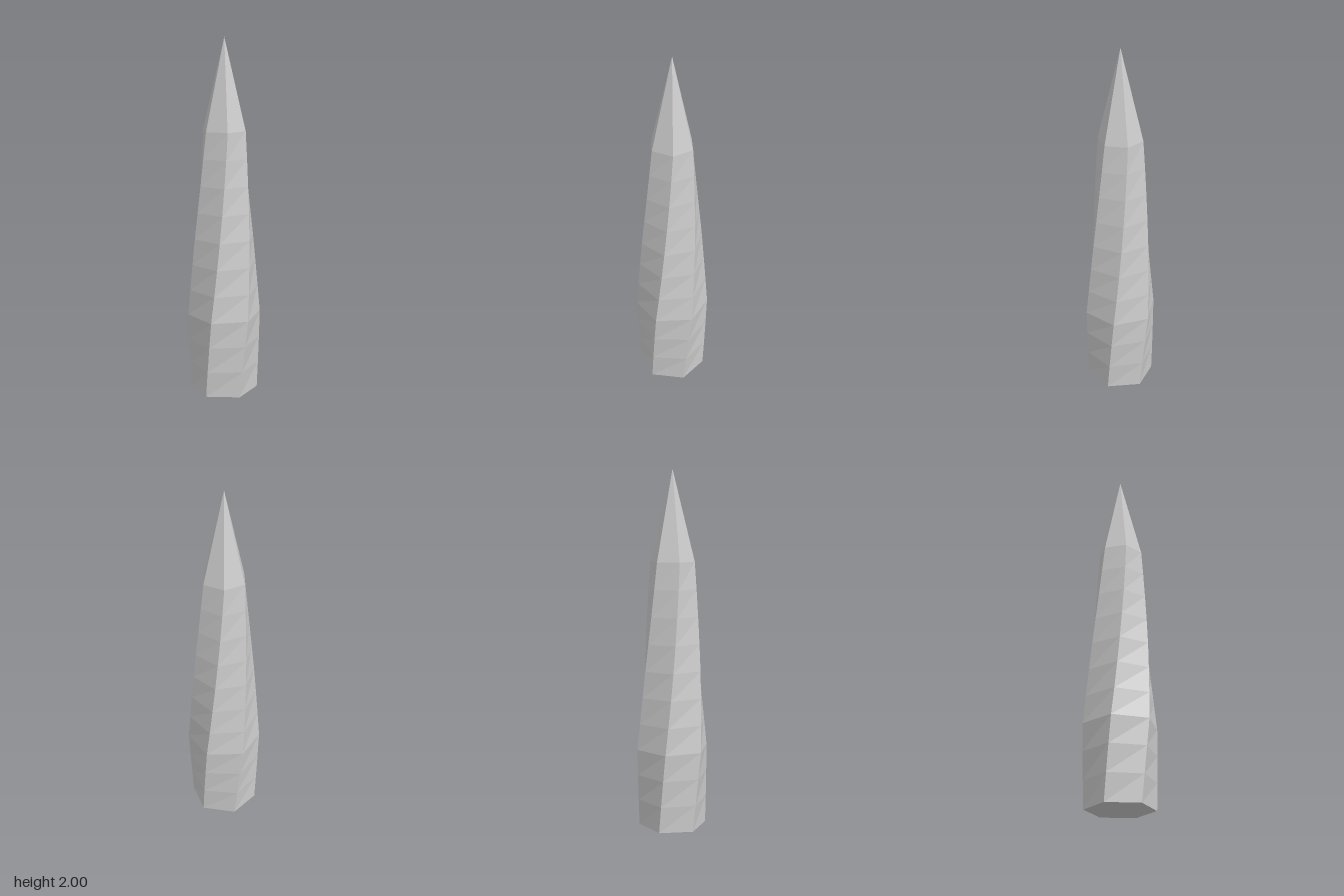
import * as THREE from 'three';

const SHOULDER = 1.5;
// Radius at height: [y, r]
const PROFILE = [[0, 0.19], [0.45, 0.208], [0.9, 0.176], [SHOULDER, 0.125], [2, 0]];

function radiusAt(y) {
  for (let i = 1; i < PROFILE.length; i++) {
    const [y0, r0] = PROFILE[i - 1];
    const [y1, r1] = PROFILE[i];
    if (y <= y1 + 1e-5) return THREE.MathUtils.mapLinear(y, y0, y1, r0, r1);
  }
  return 0;
}

// Scales each ring of a unit hexagonal geometry to the profile and twists it by height
function twist(geometry) {
  const p = geometry.attributes.position;
  for (let i = 0; i < p.count; i++) {
    const x = p.getX(i), y = p.getY(i), z = p.getZ(i);
    const r = Math.hypot(x, z) * radiusAt(y);
    const a = Math.atan2(z, x) + THREE.MathUtils.degToRad(12.5 - 27.4 * y);
    p.setXYZ(i, r * Math.cos(a), y, r * Math.sin(a));
  }
  geometry.computeVertexNormals();
  return geometry;
}

export function createModel() {
  const group = new THREE.Group();
  group.name = 'crystalSpike';
  const material = new THREE.MeshStandardMaterial({ color: 0xcccccc, flatShading: true });
  const add = (name, geometry) => {
    const mesh = new THREE.Mesh(geometry, material);
    mesh.name = name;
    group.add(mesh);
  };

  // Twisted six-sided shaft
  const shaft = new THREE.CylinderGeometry(1, 1, SHOULDER, 6, 10, true, Math.PI / 6);
  add('shaft', twist(shaft.translate(0, SHOULDER / 2, 0)));

  // Straight pyramid point, following on from the shaft's last ring
  const tip = new THREE.ConeGeometry(1, 2 - SHOULDER, 6, 1, true, Math.PI / 6);
  add('tip', twist(tip.translate(0, (2 + SHOULDER) / 2, 0)));

  // Flat underside
  add('base', twist(new THREE.CircleGeometry(1, 6).rotateX(Math.PI / 2)));

  return group;
}
